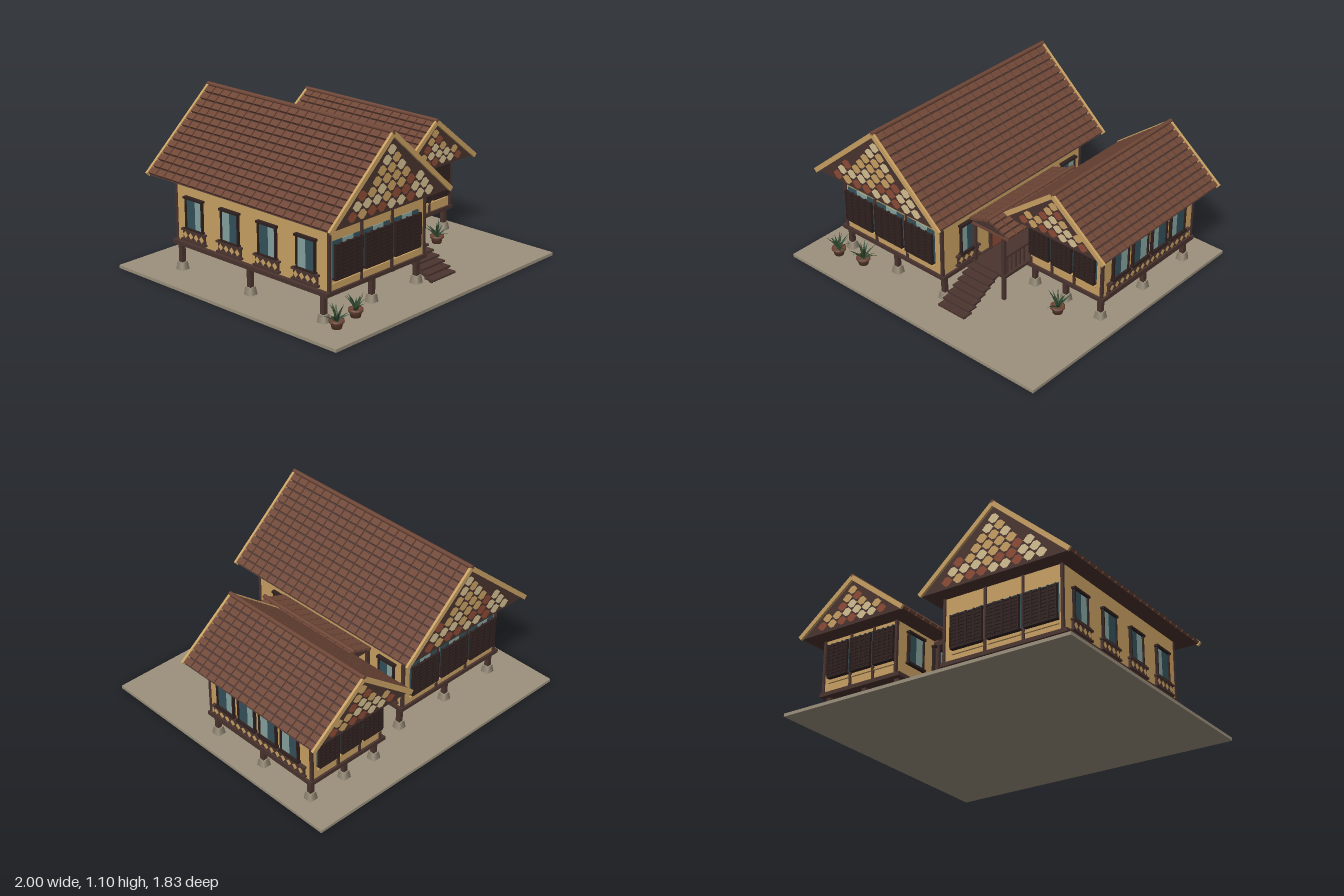
import * as THREE from 'three';
import { mergeGeometries } from 'three/addons/utils/BufferGeometryUtils.js';

const mat = (name, color, side = THREE.FrontSide) => {
  const m = new THREE.MeshStandardMaterial({ color, side });
  m.name = name;
  return m;
};
const M = {
  ground: mat('groundStone', 0x9c917d),
  wall: mat('ochreWall', 0xc9a163),
  wood: mat('darkWood', 0x4a342f),
  tile: mat('roofTile', 0x6f4737),
  red: mat('redBrown', 0x8f4b36),
  cream: mat('cream', 0xd6c193),
  glass: mat('paleGlass', 0x86a39f),
  deep: mat('deepGlass', 0x34515a),
  leaf: mat('leafGreen', 0x30492f, THREE.DoubleSide),
  shutter: mat('shutterWood', 0x2e201e),
};

const box = (x0, x1, y0, y1, z0, z1) =>
  new THREE.BoxGeometry(x1 - x0, y1 - y0, z1 - z0).translate((x0 + x1) / 2, (y0 + y1) / 2, (z0 + z1) / 2);
const add = (parent, name, material, geos) => {
  if (!geos.length) return;
  const mesh = new THREE.Mesh(geos.length > 1 ? mergeGeometries(geos) : geos[0], material);
  mesh.name = name;
  parent.add(mesh);
};
const group = (parent, name, x = 0, y = 0, z = 0, ry = 0) => {
  const g = new THREE.Group();
  g.name = name;
  g.position.set(x, y, z);
  g.rotation.y = ry;
  parent.add(g);
  return g;
};
const range = (n) => Array.from({ length: n }, (_, i) => i);
// six-sided plate; flat = 0 gives a plain diamond
const lozenge = (x, y, z, w, h, flat) => {
  const a = w / 2, b = h / 2, c = a * flat;
  const pts = [[a, 0], [c, b], [-c, b], [-a, 0], [-c, -b], [c, -b]].map((p) => new THREE.Vector2(...p));
  return new THREE.ShapeGeometry(new THREE.Shape(pts)).translate(x, y, z);
};

// wall window with louvred shutters, facing +z, origin at its centre on the wall
function shutteredWindow(parent, x, y, z, ry, w) {
  const g = group(parent, 'shutteredWindow', x, y, z, ry), h = w / 2;
  add(g, 'darkPane', M.deep, [box(-h, -h * 0.3, -0.11, 0.115, 0, 0.006), box(h * 0.5, h, -0.11, 0.115, 0, 0.006)]);
  add(g, 'palePane', M.glass, [box(-h * 0.3, h * 0.5, -0.11, 0.115, 0, 0.006)]);
  const geos = [box(-h, h, -0.118, -0.105, 0, 0.03)];
  for (const s of [-1, 1]) for (const k of [0, 1]) {
    const c = s * h * (k * 0.49 + 0.255), q = h * 0.225;
    geos.push(box(c - q, c + q, -0.105, 0.095, 0.016, 0.026));
    for (const e of [-1, 1]) geos.push(box(c + e * q - 0.004, c + e * q + 0.004, -0.108, 0.1, 0.014, 0.034));
    for (const i of range(9)) {
      const yy = -0.095 + i * 0.0225;
      geos.push(box(c - q, c + q, yy, yy + 0.01, 0.026, 0.032));
    }
  }
  add(g, 'shutters', M.shutter, geos);
  add(g, 'sill', M.wall, [box(-h, h, -0.145, -0.135, 0, 0.012)]);
}

// glazed side window, facing +z
function glazedWindow(parent, x, y, z, ry, w, flip) {
  const g = group(parent, 'glazedWindow', x, y, z, ry), h = w / 2, s = flip ? -1 : 1;
  const pane = (a, b) => box(Math.min(a * s, b * s), Math.max(a * s, b * s), -0.1, 0.1, 0, 0.009);
  add(g, 'darkPane', M.deep, [pane(-h, 0.005)]);
  add(g, 'palePane', M.glass, [pane(0.005, h)]);
  add(g, 'frame', M.shutter, [
    box(-h - 0.012, h + 0.012, 0.093, 0.107, 0, 0.026), box(-h - 0.012, h + 0.012, -0.107, -0.093, 0, 0.026),
    box(-h - 0.004, -h + 0.004, -0.1, 0.1, 0, 0.02), box(h - 0.004, h + 0.004, -0.1, 0.1, 0, 0.02)]);
}

// carved balustrade panel with a row of diamonds, facing +z
function carvedPanel(parent, x, y, z, ry, w) {
  const g = group(parent, 'carvedPanel', x, y, z, ry), n = Math.round(w / 0.05);
  add(g, 'panelFrame', M.wood, [box(-w / 2, w / 2, -0.03, 0.03, 0, 0.014),
    box(-w / 2 - 0.01, w / 2 + 0.01, 0.026, 0.038, 0, 0.024), box(-w / 2 - 0.01, w / 2 + 0.01, -0.038, -0.026, 0, 0.024)]);
  add(g, 'panelDiamonds', M.wall, range(n).map((i) => lozenge((i + 0.5 - n / 2) * (w / n), 0, 0.017, 0.042, 0.046, 0)));
}

function gablePattern(parent, x, z, ry, r) {
  const g = group(parent, 'gablePattern', x, 0, z, ry), sets = { wall: [], cream: [], red: [] };
  let seed = 7;
  const rnd = () => (seed = (seed * 16807) % 2147483647) / 2147483647;
  for (const row of range(r.rows)) {
    const y = r.eave + r.lead + row * r.pitch;
    const half = (r.half * (r.ridge - y)) / (r.ridge - r.eave) - r.margin;
    for (let i = -8; i <= 8; i++) {
      const px = (i + (row % 2 ? 0.5 : 0)) * r.dw;
      if (Math.abs(px) + r.dw / 2 > half) continue;
      const v = rnd(), redOdds = 0.5 - row * 0.07;
      sets[v < redOdds ? 'red' : v < redOdds + 0.28 ? 'cream' : 'wall'].push(lozenge(px, y, 0, r.dw * 0.98, r.pitch * 1.1, 0.3));
    }
  }
  for (const k in sets) add(g, k + 'Shingles', M[k], sets[k]);
}

// tiled gable roof with its ridge along z
function gableRoof(parent, r) {
  const g = group(parent, 'roof'), { cx, half, z0, z1, eave, ridge } = r;
  const top = ridge - 0.03, rise = top - eave, len = Math.hypot(half, rise), ang = Math.atan2(rise, half);
  const tri = new THREE.Shape([new THREE.Vector2(-half, eave), new THREE.Vector2(half, eave), new THREE.Vector2(0, top)]);
  add(g, 'roofBody', M.wood, [new THREE.ExtrudeGeometry(tri, { depth: z1 - z0 - 0.04, bevelEnabled: false }).translate(cx, 0, z0 + 0.02)]);
  const tiles = [], boards = [], a = len / r.courses, b = (z1 - z0 - 0.02) / r.cols;
  for (const s of [-1, 1]) {
    const nx = s * Math.sin(ang), ny = Math.cos(ang);
    const place = (geo, t, n) => geo.rotateZ(-s * ang).translate(cx + (s * half * t) / len + nx * n, top - (rise * t) / len + ny * n, 0);
    for (const i of range(r.courses)) for (const j of range(r.cols)) {
      tiles.push(place(new THREE.BoxGeometry(a - 0.011, 0.016, b - 0.009).rotateZ(s * 0.07), (i + 0.5) * a, 0.008)
        .translate(0, 0, z0 + 0.01 + (j + 0.5) * b));
    }
    if (r.boards) for (const z of [z0 + 0.008, z1 - 0.008])
      boards.push(place(new THREE.BoxGeometry(len + 0.01, 0.03, 0.016), len / 2, 0.006).translate(0, 0, z));
  }
  add(g, 'tiles', M.tile, tiles);
  add(g, 'bargeBoards', M.wall, boards);
  add(g, 'ridgeCap', M.tile, [new THREE.CylinderGeometry(0.014, 0.014, z1 - z0, 8).rotateX(Math.PI / 2).translate(cx, ridge - 0.014, (z0 + z1) / 2)]);
  if (r.rows) {
    gablePattern(g, cx, z1 - 0.016, 0, r);
    gablePattern(g, cx, z0 + 0.016, Math.PI, r);
  }
}

function house(parent, name, h) {
  const g = group(parent, name), { x0, x1, z0, z1, floor, top } = h;
  add(g, 'walls', M.wall, [box(x0, x1, floor, top, z0, z1)]);
  add(g, 'floorBeam', M.wood, [box(x0 - 0.03, x1 + 0.015, floor - 0.025, floor, z0 - 0.015, z1 + 0.015)]);
  const posts = [], stones = [], studs = [];
  for (const x of h.postX) for (const z of h.postZ) {
    posts.push(box(x - 0.015, x + 0.015, 0.05, floor - 0.02, z - 0.015, z + 0.015));
    const stone = new THREE.CylinderGeometry(0.031, 0.041, 0.05, 4).rotateY(Math.PI / 4);
    stones.push(stone.translate(x, 0.045, z));
  }
  for (const x of h.studX) for (const z of [z0, z1]) studs.push(box(x - 0.008, x + 0.008, floor, top, z - 0.01, z + 0.01));
  add(g, 'stilts', M.wood, posts);
  add(g, 'footings', M.ground, stones);
  add(g, 'wallPosts', M.wood, studs);
  for (const x of h.winX) {
    shutteredWindow(g, x, h.winY, z1, 0, h.winW);
    shutteredWindow(g, x, h.winY, z0, Math.PI, h.winW);
  }
  gableRoof(g, h.roof);
  return g;
}

function pottedPlant(parent, x, z, turn) {
  const g = group(parent, 'pottedPlant', x, 0.02, z, turn);
  const prof = [[0, 0], [0.03, 0], [0.038, 0.035], [0.046, 0.037], [0.046, 0.05], [0.036, 0.05], [0.034, 0.042], [0, 0.042]];
  add(g, 'pot', M.tile, [new THREE.LatheGeometry(prof.map((p) => new THREE.Vector2(...p)), 12)]);
  add(g, 'leaves', M.leaf, range(13).map((i) => {
    const lean = 0.15 + (i % 4) * 0.24, len = 0.115 - (i % 3) * 0.012;
    const leaf = new THREE.ConeGeometry(0.013, len, 4, 3).scale(1, 1, 0.4).translate(0, len / 2, 0);
    const p = leaf.attributes.position;
    for (let k = 0; k < p.count; k++) p.setZ(k, p.getZ(k) + (p.getY(k) ** 2) * 2.5); // droop towards the tip
    leaf.computeVertexNormals();
    return leaf.rotateX(lean).rotateY(i * 2.4).translate(0, 0.04, 0);
  }));
}

export function createModel() {
  const root = new THREE.Group();
  root.name = 'stiltHouse';
  add(root, 'groundSlab', M.ground, [box(-1, 1, 0, 0.02, -0.915, 0.915)]);

  const main = house(root, 'mainHouse', {
    x0: -0.77, x1: 0.055, z0: -0.62, z1: 0.645, floor: 0.21, top: 0.63,
    postX: [-0.775, -0.37, 0.03], postZ: [-0.58, 0.017, 0.61],
    studX: [-0.765, -0.503, -0.24, 0.05], winX: [-0.63, -0.375, -0.12], winY: 0.393, winW: 0.225,
    roof: { cx: -0.372, half: 0.512, z0: -0.75, z1: 0.775, eave: 0.62, ridge: 1.1, courses: 13, cols: 21,
      boards: true, rows: 7, lead: 0.045, pitch: 0.053, dw: 0.082, margin: 0.06 },
  });
  const zs = [-0.455, -0.145, 0.167, 0.477];
  zs.forEach((z, i) => {
    glazedWindow(main, -0.77, 0.4, z, -Math.PI / 2, 0.14, i % 2);
    carvedPanel(main, -0.775, 0.262, z, -Math.PI / 2, 0.19);
    if (i === 2) return;
    glazedWindow(main, 0.055, 0.4, z - 0.04, Math.PI / 2, 0.12, i % 2);
    carvedPanel(main, 0.055, 0.262, z - 0.04, Math.PI / 2, 0.18);
  });

  const wing = house(root, 'sideWing', {
    x0: 0.329, x1: 0.885, z0: -0.71, z1: 0.165, floor: 0.19, top: 0.535,
    postX: [0.345, 0.59, 0.857], postZ: [-0.675, -0.27, 0.14],
    studX: [0.335, 0.503, 0.675, 0.88], winX: [0.415, 0.589, 0.765], winY: 0.39, winW: 0.15,
    roof: { cx: 0.592, half: 0.382, z0: -0.84, z1: 0.295, eave: 0.53, ridge: 0.86, courses: 10, cols: 16,
      boards: true, rows: 5, lead: 0.045, pitch: 0.046, dw: 0.075, margin: 0.05 },
  });
  [0.012, -0.175, -0.36, -0.545].forEach((z, i) => glazedWindow(wing, 0.885, 0.385, z, Math.PI / 2, 0.14, i > 1));
  carvedPanel(wing, 0.885, 0.237, -0.272, Math.PI / 2, 0.785);
  for (const z of [-0.545, -0.3]) glazedWindow(wing, 0.329, 0.385, z, -Math.PI / 2, 0.14, false);

  // covered porch between the two houses
  const porch = group(root, 'porch');
  gableRoof(porch, { cx: 0.21, half: 0.165, z0: -0.37, z1: 0.43, eave: 0.495, ridge: 0.585, courses: 4, cols: 11 });
  add(porch, 'porchFascia', M.tile, [box(0.055, 0.365, 0.482, 0.497, 0.4, 0.415)]);
  add(porch, 'porchFloor', M.wood, [box(0.055, 0.329, 0.185, 0.205, -0.36, 0.4)]);
  add(porch, 'porchPosts', M.wood, [0.075, 0.307].flatMap((x) => [0.385, -0.345].map((z) => box(x - 0.012, x + 0.012, 0.02, 0.5, z - 0.01, z + 0.01))));
  const rails = [box(0.302, 0.316, 0.315, 0.33, 0.17, 0.385)];
  for (const i of range(5)) rails.push(box(0.304, 0.314, 0.205, 0.32, 0.2 + i * 0.038, 0.21 + i * 0.038));
  add(porch, 'railing', M.wood, rails);
  add(porch, 'doors', M.red, [box(0.055, 0.068, 0.21, 0.47, 0.09, 0.23), box(0.314, 0.329, 0.21, 0.48, 0, 0.14)]);
  add(porch, 'doorFrames', M.wood, [0.08, 0.23].map((z) => box(0.055, 0.076, 0.205, 0.48, z, z + 0.012)));
  add(porch, 'doorHandle', M.shutter, [box(0.07, 0.092, 0.335, 0.355, 0.205, 0.215)]);

  // stairs with two sloping stringers
  const stairs = group(root, 'stairs');
  add(stairs, 'treads', M.wood, range(7).map((i) => box(0.07, 0.28, 0.182 - i * 0.024, 0.194 - i * 0.024, 0.395 + i * 0.041, 0.455 + i * 0.043)));
  add(stairs, 'stringers', M.wood, [0.09, 0.26].map((x) =>
    new THREE.BoxGeometry(0.014, 0.025, 0.33).rotateX(Math.atan2(0.155, 0.29)).translate(x, 0.105, 0.545)));

  pottedPlant(root, -0.785, 0.72, 0);
  pottedPlant(root, -0.595, 0.69, 1);
  pottedPlant(root, 0.635, 0.27, 2);
  return root;
}
